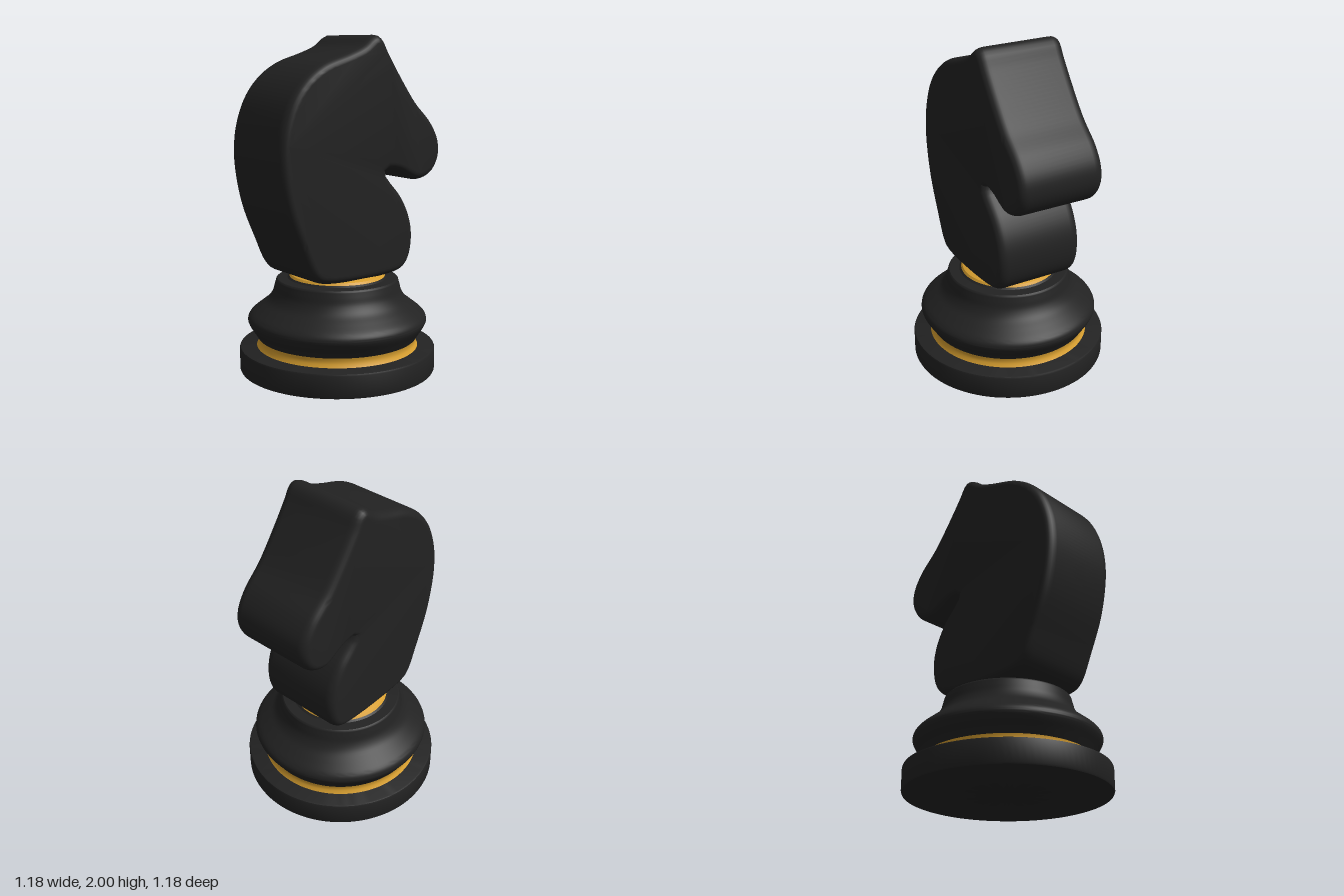
import * as THREE from 'three';
import { toCreasedNormals } from 'three/addons/utils/BufferGeometryUtils.js';

const black = new THREE.MeshStandardMaterial({ color: 0x222222 });
const gold = new THREE.MeshStandardMaterial({ color: 0xd9a030 });

// Turned part from [radius, height] pairs
function turned(name, profile, material, crease = 0.6) {
  const points = profile.map(([r, y]) => new THREE.Vector2(r, y));
  const mesh = new THREE.Mesh(toCreasedNormals(new THREE.LatheGeometry(points, 96), crease), material);
  mesh.name = name;
  return mesh;
}

// Horse head: a smooth closed outline in [z, y], extruded across x with rounded edges
function horseHead() {
  const outline = [
    [0.29, 0.602], [0.355, 0.645], [0.44, 0.82], [0.52, 1.02], [0.563, 1.22], [0.57, 1.36],
    [0.55, 1.5], [0.49, 1.65], [0.40, 1.76], [0.28, 1.84], [0.10, 1.90], [0.0, 1.94],
    [-0.06, 1.985], [-0.10, 2.0], [-0.14, 1.98], [-0.19, 1.90], [-0.30, 1.74], [-0.40, 1.61],
    [-0.52, 1.49], [-0.582, 1.38], [-0.588, 1.28], [-0.54, 1.19], [-0.47, 1.15], [-0.40, 1.145],
    [-0.34, 1.17], [-0.27, 1.205], [-0.19, 1.22], [-0.17, 1.205], [-0.20, 1.16], [-0.29, 1.06],
    [-0.355, 0.94], [-0.38, 0.82], [-0.365, 0.70], [-0.33, 0.638], [-0.27, 0.602],
  ].map(([z, y]) => new THREE.Vector3(z, y, 0));
  const curve = new THREE.CatmullRomCurve3(outline, true, 'centripetal');
  const points = curve.getSpacedPoints(180).slice(0, -1).map((p) => new THREE.Vector2(p.x, p.y));
  const width = 0.54, round = 0.06, inset = 0.045;
  const geometry = new THREE.ExtrudeGeometry(new THREE.Shape(points), {
    depth: width - 2 * round, steps: 1, bevelEnabled: true,
    bevelThickness: round, bevelSize: inset, bevelOffset: -inset, bevelSegments: 6,
  });
  geometry.translate(0, 0, round - width / 2).rotateY(-Math.PI / 2);
  const mesh = new THREE.Mesh(toCreasedNormals(geometry, 0.8), black);
  mesh.name = 'horseHead';
  return mesh;
}

export function createModel() {
  const group = new THREE.Group();
  group.name = 'chessKnight';

  // Foot disc with softened rims
  group.add(turned('footDisc', [
    [0, 0], [0.58, 0], [0.588, 0.003], [0.592, 0.012], [0.592, 0.135], [0.588, 0.144], [0.58, 0.147], [0, 0.147],
  ], black));

  // Gold band between foot and body
  group.add(turned('lowerBand', [[0.49, 0.145], [0.478, 0.165], [0.476, 0.185], [0.482, 0.205]], gold));

  // Flared body
  const flare = new THREE.SplineCurve([
    [0.48, 0.2], [0.505, 0.24], [0.533, 0.285], [0.54, 0.315], [0.523, 0.347], [0.47, 0.39],
    [0.42, 0.43], [0.39, 0.475], [0.377, 0.52], [0.368, 0.553],
  ].map(([r, y]) => new THREE.Vector2(r, y))).getPoints(40).map((p) => [p.x, p.y]);
  group.add(turned('body', [[0, 0.2], ...flare, [0.36, 0.56], [0.3, 0.563], [0.285, 0.575], [0, 0.575]], black));

  // Gold collar under the head
  group.add(turned('collar', [[0.29, 0.57], [0.28, 0.585], [0.25, 0.597], [0.2, 0.608], [0, 0.608]], gold));

  group.add(horseHead());
  return group;
}
